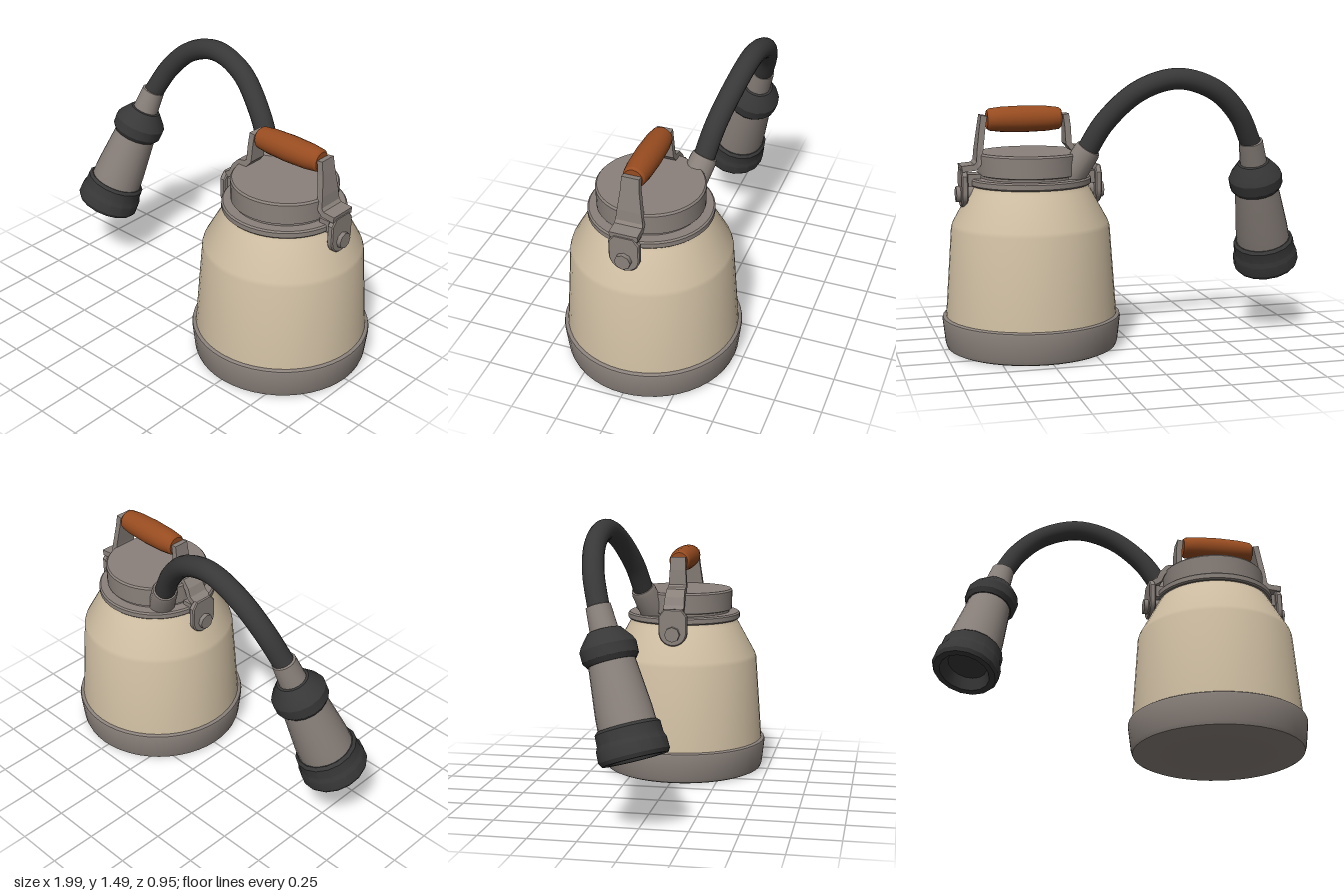
import * as THREE from 'three';
import { toCreasedNormals } from 'three/addons/utils/BufferGeometryUtils.js';

const mat = (name, color) => Object.assign(new THREE.MeshStandardMaterial({ color }), { name });

export function createModel() {
  const cream = mat('cream enamel', 0xd0bfa3);
  const steel = mat('grey metal', 0x8a817b);
  const rubber = mat('black rubber', 0x383838);
  const wood = mat('brown wood', 0x984c20);
  const model = new THREE.Group();
  model.name = 'canister with hose';
  const CX = 0.525;

  const add = (parent, name, geometry, material) => {
    const mesh = new THREE.Mesh(geometry, material);
    mesh.name = name;
    parent.add(mesh);
    return mesh;
  };
  // turned part from [radius, height] pairs, crisp at hard edges
  const turn = (profile, sides) => toCreasedNormals(
    new THREE.LatheGeometry(profile.map(([r, y]) => new THREE.Vector2(r, y)), sides), 0.5);

  // canister
  const can = new THREE.Group();
  can.name = 'canister';
  can.position.x = CX;
  model.add(can);
  add(can, 'base', turn([[0, 0], [0.435, 0], [0.452, 0.008], [0.46, 0.03], [0.475, 0.16],
    [0.472, 0.172], [0.462, 0.178], [0.44, 0.178]], 48), steel);
  add(can, 'body', turn([[0.455, 0.17], [0.42, 0.65], [0.413, 0.672], [0.315, 0.85], [0.303, 0.87], [0.298, 0.89]], 48), cream);
  add(can, 'flange', turn([[0.28, 0.872], [0.314, 0.872], [0.322, 0.88], [0.322, 0.905],
    [0.314, 0.913], [0.25, 0.913]], 48), steel);
  add(can, 'lid', turn([[0.262, 0.9], [0.262, 0.925], [0.276, 0.93], [0.278, 1.035], [0.27, 1.045], [0, 1.045]], 48), steel);

  // wooden grip
  const grip = add(model, 'grip', turn([[0, -0.197], [0.048, -0.197], [0.058, -0.185], [0.066, -0.12], [0.07, 0],
    [0.066, 0.12], [0.058, 0.185], [0.048, 0.197], [0, 0.197]], 20), wood);
  grip.rotation.z = -Math.PI / 2;
  grip.position.set(0.555, 1.216, 0);

  // bent strap: centre line in xy given a thickness, wider towards the bottom
  const strap = (points, thick, topHalf, lowHalf) => {
    const p = points.map(([x, y]) => new THREE.Vector2(x, y));
    const side = s => p.map((q, i) => {
      const d = p[Math.min(i + 1, p.length - 1)].clone().sub(p[Math.max(i - 1, 0)]).normalize();
      return new THREE.Vector2(q.x - d.y * s, q.y + d.x * s);
    });
    const shape = new THREE.Shape([...side(thick / 2), ...side(-thick / 2).reverse()]);
    const g = new THREE.ExtrudeGeometry(shape, { depth: 2, bevelEnabled: false });
    const a = g.attributes.position;
    for (let i = 0; i < a.count; i++) {
      const k = THREE.MathUtils.clamp((1.2 - a.getY(i)) / 0.22, 0, 1);
      a.setZ(i, (a.getZ(i) - 1) * THREE.MathUtils.lerp(topHalf, lowHalf, k));
    }
    g.computeVertexNormals();
    return g;
  };
  add(model, 'rightStrap', strap([[0.337, 1.24], [0.328, 1.17], [0.325, 1.085], [0.305, 1.062], [0.262, 1.055],
    [0.23, 1.02], [0.21, 0.975], [0.18, 0.955]], 0.032, 0.042, 0.058), steel);
  add(model, 'leftStrap', strap([[0.772, 1.24], [0.783, 1.17], [0.798, 1.06], [0.803, 1.0], [0.825, 0.975],
    [0.895, 0.968]], 0.032, 0.045, 0.074), steel);

  // hinge plates, bolts and lugs on both sides
  const plate = new THREE.Shape();
  plate.moveTo(-0.08, 0.84);
  plate.absarc(0, 0.842, 0.08, Math.PI, Math.PI * 2);
  plate.lineTo(0.08, 0.93);
  plate.lineTo(0.05, 0.968);
  plate.lineTo(-0.05, 0.968);
  plate.lineTo(-0.08, 0.93);
  const plateGeo = new THREE.ExtrudeGeometry(plate, {
    depth: 0.022, bevelThickness: 0.006, bevelSize: 0.006, bevelOffset: -0.006, bevelSegments: 1 });
  for (const s of [-1, 1]) {
    const hinge = new THREE.Group();
    hinge.name = s < 0 ? 'rightHinge' : 'leftHinge';
    hinge.position.x = CX;
    if (s < 0) hinge.rotation.y = Math.PI;
    model.add(hinge);
    const p = add(hinge, 'hingePlate', plateGeo, steel);
    p.rotation.y = Math.PI / 2;
    p.position.x = 0.345;
    const bolt = add(hinge, 'bolt', new THREE.CylinderGeometry(0.042, 0.046, 0.1, 8), steel);
    bolt.rotation.z = -Math.PI / 2;
    bolt.position.set(0.345, 0.83, 0);
    add(hinge, 'lug', new THREE.BoxGeometry(0.09, 0.065, 0.11), steel).position.set(0.315, 0.905, 0);
  }

  // place a part built along +y so that its foot is at a and it points to b
  const aim = (mesh, a, b) => {
    mesh.position.copy(a);
    mesh.quaternion.setFromUnitVectors(new THREE.Vector3(0, 1, 0), b.clone().sub(a).normalize());
  };
  const V = (x, y, z) => new THREE.Vector3(x, y, z);

  // hose and its socket on the lid
  const path = new THREE.CatmullRomCurve3([V(0.27, 1.04, -0.18), V(0.17, 1.21, -0.215), V(0.0, 1.37, -0.265),
    V(-0.2, 1.43, -0.29), V(-0.4, 1.37, -0.295), V(-0.54, 1.24, -0.27), V(-0.635, 1.07, -0.22)]);
  add(model, 'hose', new THREE.TubeGeometry(path, 48, 0.056, 16), rubber);
  const socket = add(model, 'hoseSocket', turn([[0, 0], [0.072, 0], [0.07, 0.16], [0.064, 0.18], [0, 0.18]], 16), steel);
  aim(socket, V(0.335, 0.92, -0.14), V(0.25, 1.075, -0.19));

  // nozzle, built from its open end up to the hose
  const nozzle = new THREE.Group();
  nozzle.name = 'nozzle';
  aim(nozzle, V(-0.82, 0.37, 0), V(-0.63, 1.09, -0.225));
  model.add(nozzle);
  add(nozzle, 'endRing', turn([[0, 0.07], [0.105, 0.06], [0.135, 0], [0.168, 0], [0.18, 0.02], [0.178, 0.075],
    [0.168, 0.1], [0.166, 0.155], [0.152, 0.17], [0.13, 0.17]], 16), rubber);
  add(nozzle, 'barrel', turn([[0.147, 0.15], [0.143, 0.24], [0.116, 0.51]], 24), steel);
  add(nozzle, 'collar', turn([[0.1, 0.485], [0.125, 0.485], [0.143, 0.51], [0.145, 0.565], [0.132, 0.59],
    [0.085, 0.65], [0.06, 0.655]], 16), rubber);
  add(nozzle, 'neck', turn([[0.074, 0.63], [0.064, 0.775], [0.05, 0.78]], 16), steel);
  return model;
}
